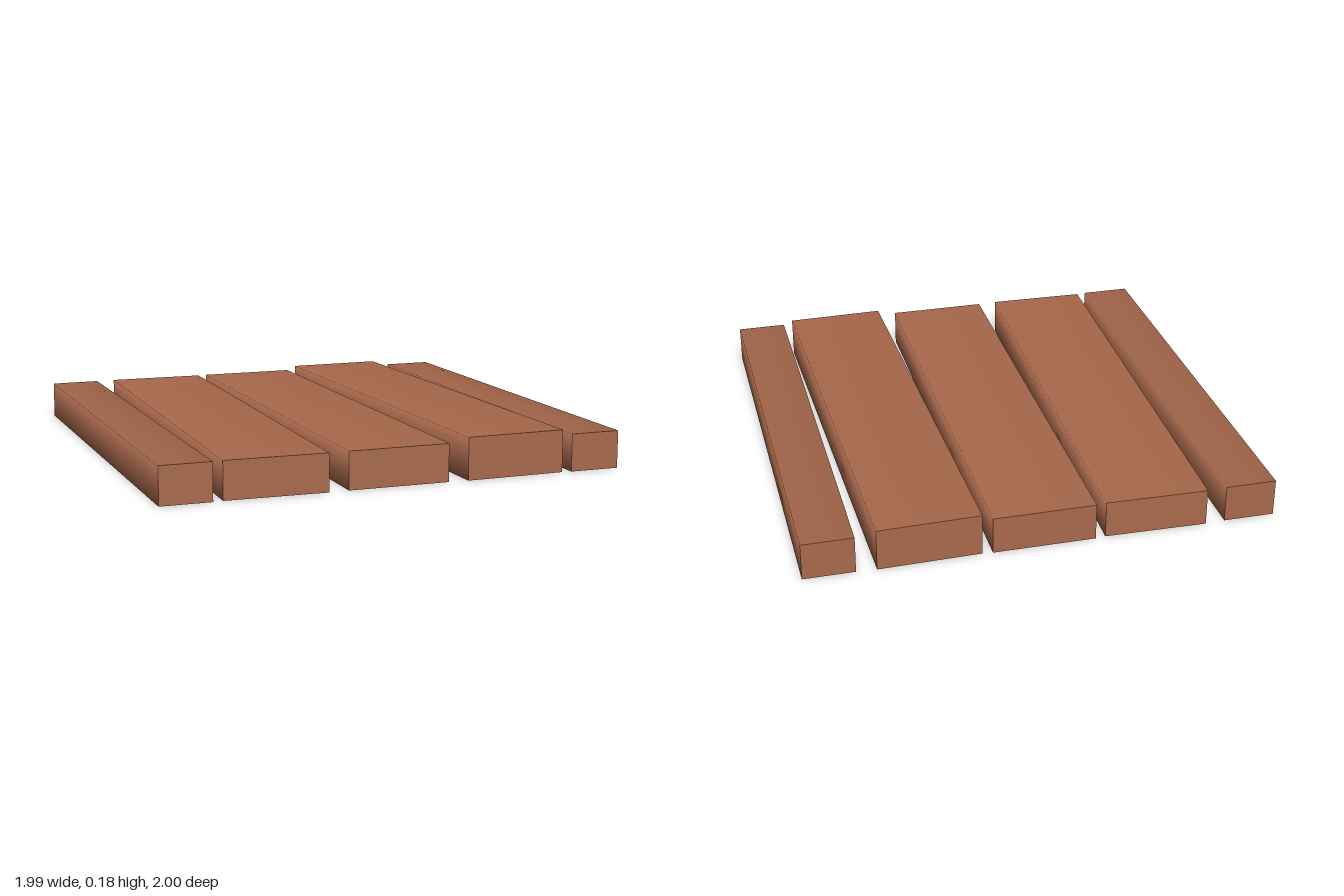
import * as THREE from 'three';

export function createModel() {
  const group = new THREE.Group();
  const wood = new THREE.MeshStandardMaterial({ color: 0xaa6a4d });
  wood.name = 'brownWood';

  // Four-sided prism along z: smooth long sides, flat ends
  function plank(name, x, width, height, turn = 0) {
    const geometry = new THREE.CylinderGeometry(Math.SQRT1_2, Math.SQRT1_2, 1, 4)
      .rotateY(Math.PI / 4)
      .rotateX(Math.PI / 2)
      .scale(width, height, 1.99);
    const mesh = new THREE.Mesh(geometry, wood);
    mesh.name = name;
    mesh.position.set(x, height / 2, 0);
    mesh.rotation.y = turn;
    group.add(mesh);
  }

  // Narrow edge planks
  plank('rightEdgePlank', -0.887, 0.217, 0.16);
  plank('leftEdgePlank', 0.887, 0.217, 0.16);

  // Wide planks, the outer pair slightly splayed and one a little thicker
  plank('rightPlank', -0.4985, 0.435, 0.16, -0.0215);
  plank('middlePlank', 0, 0.435, 0.16);
  plank('leftPlank', 0.4985, 0.435, 0.18, 0.0215);

  return group;
}
